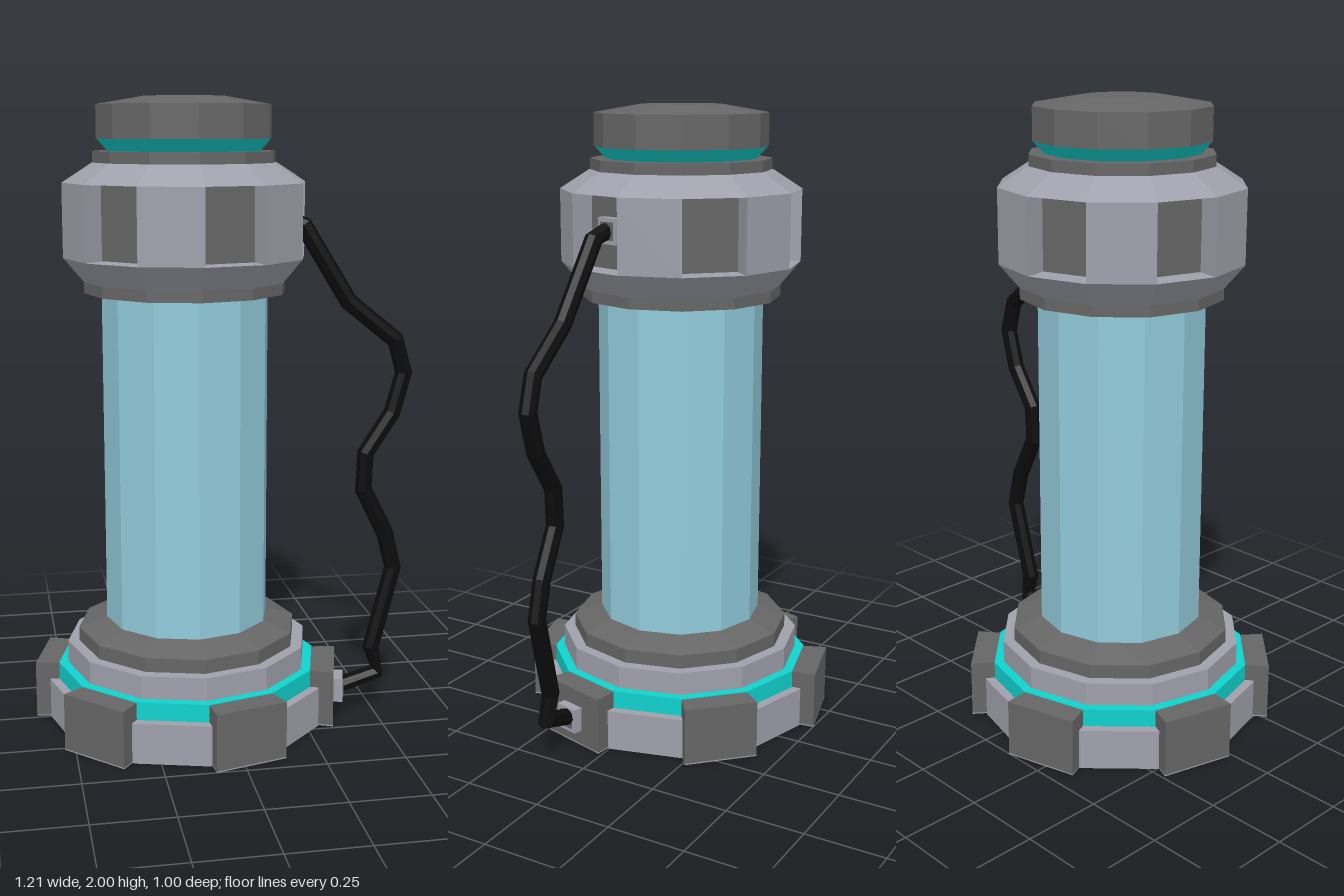
import * as THREE from 'three';

const mat = (name, color) => Object.assign(new THREE.MeshStandardMaterial({ color }), { name });

// Polyline sampled exactly at its corners, for an angular cable
class Polyline extends THREE.Curve {
  constructor(points) { super(); this.points = points; }
  getPoint(t, target = new THREE.Vector3()) {
    const n = this.points.length - 1, i = Math.min(Math.floor(t * n + 1e-6), n - 1);
    return target.lerpVectors(this.points[i], this.points[i + 1], t * n - i);
  }
  getPointAt(t, target) { return this.getPoint(t, target); }
  getTangentAt(t, target) { return this.getTangent(t, target); }
}

export function createModel() {
  const light = mat('light metal', 0xa0a0ac);
  const dark = mat('dark metal', 0x666666);
  const teal = mat('teal glow', 0x10d2cd);
  const glass = mat('blue glass', 0x92cbdb);
  const black = mat('black rubber', 0x0c0c0c);

  const model = new THREE.Group();
  const body = new THREE.Group();
  body.name = 'canister';
  body.position.x = -0.105;
  model.add(body);

  const add = (name, geo, material, parent = body) => {
    const mesh = new THREE.Mesh(geo, material);
    mesh.name = name;
    parent.add(mesh);
    return mesh;
  };
  const flat = (geo) => {
    const g = geo.toNonIndexed();
    g.computeVertexNormals();
    return g;
  };
  // Twelve-sided closed turned part, profile given bottom to top as [radius, y]
  const turned = (name, profile, material) => {
    const pts = [[0, profile[0][1]], ...profile, [0, profile.at(-1)[1]]];
    return add(name, flat(new THREE.LatheGeometry(pts.map(p => new THREE.Vector2(...p)), 12)), material);
  };
  // Upright prism from a plan outline of [x, z] points
  const prism = (plan, y0, y1) => {
    const shape = new THREE.Shape(plan.map(([x, z]) => new THREE.Vector2(x, -z)));
    return new THREE.ExtrudeGeometry(shape, { depth: y1 - y0, bevelEnabled: false })
      .rotateX(-Math.PI / 2).translate(0, y0, 0);
  };
  const rad = THREE.MathUtils.degToRad;

  // Base
  turned('baseRing', [[0.455, 0], [0.455, 0.13]], light);
  turned('baseGlow', [[0.425, 0.13], [0.425, 0.187]], teal);
  turned('baseStep', [[0.394, 0.187], [0.394, 0.26]], light);
  turned('baseCone', [[0.357, 0.26], [0.357, 0.305], [0.235, 0.347]], dark);

  // Glass tube
  turned('glassTube', [[0.265, 0.31], [0.265, 1.41]], glass);

  // Collar
  turned('collarRim', [[0.32, 1.4], [0.32, 1.435]], dark);
  turned('collarLowerSlope', [[0.32, 1.435], [0.383, 1.51]], light);
  turned('collarUpperSlope', [[0.383, 1.74], [0.29, 1.8]], light);

  // Collar wall with six square notches
  const R = 0.383, depth = 0.085, wall = [];
  for (let k = 0; k < 6; k++) {
    const a = rad(60 * k), b = rad(60 * k + 30), m = rad(60 * k + 15);
    const p = [R * Math.sin(a), R * Math.cos(a)], q = [R * Math.sin(b), R * Math.cos(b)];
    const dx = depth * Math.sin(m), dz = depth * Math.cos(m);
    wall.push(p, [p[0] - dx, p[1] - dz], [q[0] - dx, q[1] - dz], q);
  }
  add('collarWall', prism(wall, 1.51, 1.74), light);

  // Notch panels and base feet share the same six directions
  const panelAt = R * Math.cos(rad(15)) - depth;
  const footPlan = [[-0.1, 0.35], [0.1, 0.35], [0.118, 0.487], [-0.118, 0.487]];
  const footGeo = prism(footPlan, 0.004, 0.185);
  const soleGeo = prism(footPlan, 0, 0.004);
  for (let k = 0; k < 6; k++) {
    const sector = new THREE.Group();
    sector.name = 'sector' + (k + 1);
    sector.rotation.y = rad(60 * k + 15);
    body.add(sector);
    add('notchPanel', new THREE.BoxGeometry(0.196, 0.228, 0.008), dark, sector)
      .position.set(0, 1.625, panelAt + 0.002);
    add('foot', footGeo, dark, sector);
    add('footSole', soleGeo, light, sector);
    // Cable sockets on the one sector facing the left side
    if (k === 1) {
      for (const [y, z] of [[1.63, panelAt + 0.01], [0.092, 0.492]]) {
        add('socket', new THREE.BoxGeometry(0.08, 0.08, 0.05), light, sector).position.set(0, y, z);
        add('socketHole', new THREE.BoxGeometry(0.055, 0.055, 0.006), dark, sector)
          .position.set(0, y, z + 0.025);
      }
    }
  }

  // Cap
  turned('capFlange', [[0.287, 1.8], [0.287, 1.835]], dark);
  turned('capGlow', [[0.24, 1.835], [0.273, 1.872]], teal);
  turned('cap', [[0.275, 1.872], [0.275, 1.975], [0.13, 2]], dark);

  // Cable hanging between the sockets
  const path = [
    [0.17, 1.64, 0.08], [0.25, 1.61, 0.1], [0.395, 1.37, 0.12], [0.55, 1.245, 0.12],
    [0.58, 1.14, 0.12], [0.545, 1.01, 0.12], [0.46, 0.88, 0.12], [0.455, 0.76, 0.12],
    [0.53, 0.61, 0.12], [0.56, 0.49, 0.12], [0.49, 0.22, 0.125], [0.51, 0.135, 0.13],
    [0.37, 0.092, 0.13],
  ].map(p => new THREE.Vector3(...p));
  add('cable', flat(new THREE.TubeGeometry(new Polyline(path), path.length - 1, 0.028, 8)), black, model);

  return model;
}
